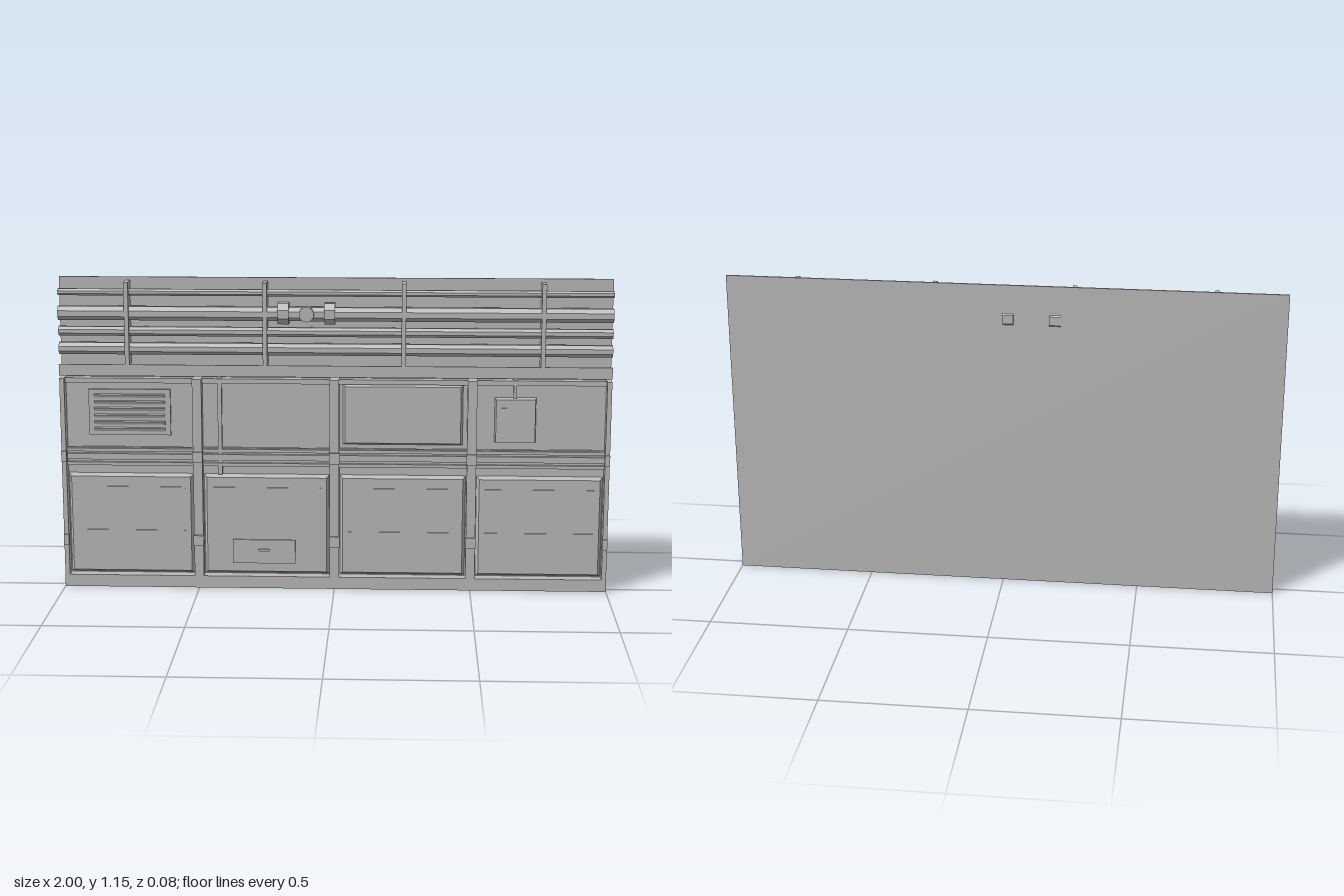
import * as THREE from 'three';

export function createModel() {
  const root = new THREE.Group();
  root.name = 'industrialWall';
  const grey = new THREE.MeshStandardMaterial({ color: 0xbababa });
  grey.name = 'wallGrey';

  const add = (name, geometry) => {
    const mesh = new THREE.Mesh(geometry, grey);
    mesh.name = name;
    root.add(mesh);
    return mesh;
  };
  // Box given by its limits on each axis
  const box = (name, x0, x1, y0, y1, z0, z1) => {
    const m = add(name, new THREE.BoxGeometry(x1 - x0, y1 - y0, z1 - z0));
    m.position.set((x0 + x1) / 2, (y0 + y1) / 2, (z0 + z1) / 2);
    return m;
  };
  // Faceted cylinder lying along x
  const tube = (name, x0, x1, y, z, r, sides = 8) => {
    const g = new THREE.CylinderGeometry(r, r, x1 - x0, sides).toNonIndexed();
    g.rotateY(Math.PI / sides);
    g.rotateZ(Math.PI / 2);
    g.computeVertexNormals();
    add(name, g).position.set((x0 + x1) / 2, y, z);
  };
  // Plate with sloped edges, facing +z
  const bevelPlate = (name, x0, x1, y0, y1, z0, z1, inset) => {
    const g = new THREE.BoxGeometry(x1 - x0, y1 - y0, z1 - z0).toNonIndexed();
    const p = g.attributes.position;
    for (let i = 0; i < p.count; i++) {
      if (p.getZ(i) > 0) {
        p.setX(i, p.getX(i) - Math.sign(p.getX(i)) * inset);
        p.setY(i, p.getY(i) - Math.sign(p.getY(i)) * inset);
      }
    }
    g.computeVertexNormals();
    add(name, g).position.set((x0 + x1) / 2, (y0 + y1) / 2, (z0 + z1) / 2);
  };

  // Main slabs
  const face = -0.012;
  box('backPlate', -1, 1, 0, 1.15, -0.035, -0.028);
  box('wallBody', -0.999, 0.999, 0.04, 0.783, -0.03, face);
  box('baseboard', -1, 1, 0, 0.045, -0.034, 0.03);

  // Upright posts with clips
  for (const x of [-1, -0.5, 0, 0.5, 1]) {
    const x0 = Math.max(-1, x - 0.017), x1 = Math.min(1, x + 0.017);
    box('post', x0, x1, 0.045, 0.785, -0.03, 0.028);
    for (const y of [0.18, 0.495]) {
      box('postClip', Math.max(-1, x - 0.019), Math.min(1, x + 0.019), y - 0.02, y + 0.02, 0.02, 0.036);
    }
  }

  // Horizontal rails
  box('topRail', -0.99, 0.99, 0.765, 0.783, face, 0.004);
  box('midRailBacking', -0.99, 0.99, 0.455, 0.525, face, -0.006);
  for (const [y, h] of [[0.515, 0.012], [0.49, 0.022], [0.463, 0.012]]) {
    box('midRail', -0.99, 0.99, y - h / 2, y + h / 2, face, 0.006);
  }

  // Four lower panels with slim trim lines
  for (let i = 0; i < 4; i++) {
    const x0 = -0.98 + i * 0.5, x1 = x0 + 0.46;
    bevelPlate('lowerPanel', x0, x1, 0.048, 0.425, face, 0.006, 0.01);
    for (const y of i === 1 ? [0.375] : [0.375, 0.21]) {
      box('panelTrim', x0 + 0.03, x1 - 0.03, y - 0.003, y + 0.003, 0.004, 0.009);
    }
  }

  // Small hatch in the second panel
  box('hatch', -0.376, -0.145, 0.09, 0.18, 0.004, 0.012);
  box('hatchHandle', -0.28, -0.24, 0.138, 0.145, 0.01, 0.018);

  // Louvred vent
  box('ventFrame', -0.9, -0.6, 0.57, 0.74, face, -0.002);
  for (let i = 0; i < 6; i++) {
    const y = 0.592 + i * 0.025;
    const slat = box('ventSlat', -0.88, -0.62, y - 0.006, y + 0.006, -0.006, 0.003);
    slat.rotation.x = 0.4;
  }

  // Upper raised panel
  bevelPlate('upperPanel', 0.03, 0.467, 0.54, 0.765, face, 0.004, 0.008);

  // Conduits and junction box
  box('conduit', -0.427, -0.412, 0.425, 0.8, face, 0.001);
  box('boxConduit', 0.649, 0.661, 0.71, 0.8, face, 0);
  bevelPlate('junctionBox', 0.582, 0.732, 0.553, 0.719, face, 0.016, 0.004);
  box('boxLatch', 0.605, 0.625, 0.675, 0.685, 0.014, 0.02);

  // Cable tray
  box('trayFloor', -1, 1, 0.795, 0.809, -0.03, 0.027);
  box('trayLip', -1, 1, 0.795, 0.837, 0.021, 0.027);

  // Pipes and their brackets
  for (const [y, r] of [[1.098, 0.013], [1.022, 0.027], [0.956, 0.018], [0.893, 0.023]]) {
    tube('pipe', -1, 1, y, 0, r);
  }
  for (const x of [-0.75, -0.25, 0.25, 0.75]) {
    box('pipeBracket', x - 0.008, x + 0.008, 0.835, 1.137, -0.03, 0.03);
  }

  // Valve with two couplings
  tube('coupling', -0.204, -0.164, 1.024, -0.002, 0.041);
  tube('coupling', -0.036, 0.003, 1.024, -0.002, 0.041);
  const knob = new THREE.CylinderGeometry(0.028, 0.028, 0.034, 10).toNonIndexed();
  knob.rotateX(Math.PI / 2);
  knob.computeVertexNormals();
  add('valveKnob', knob).position.set(-0.1, 1.024, 0.017);

  return root;
}
